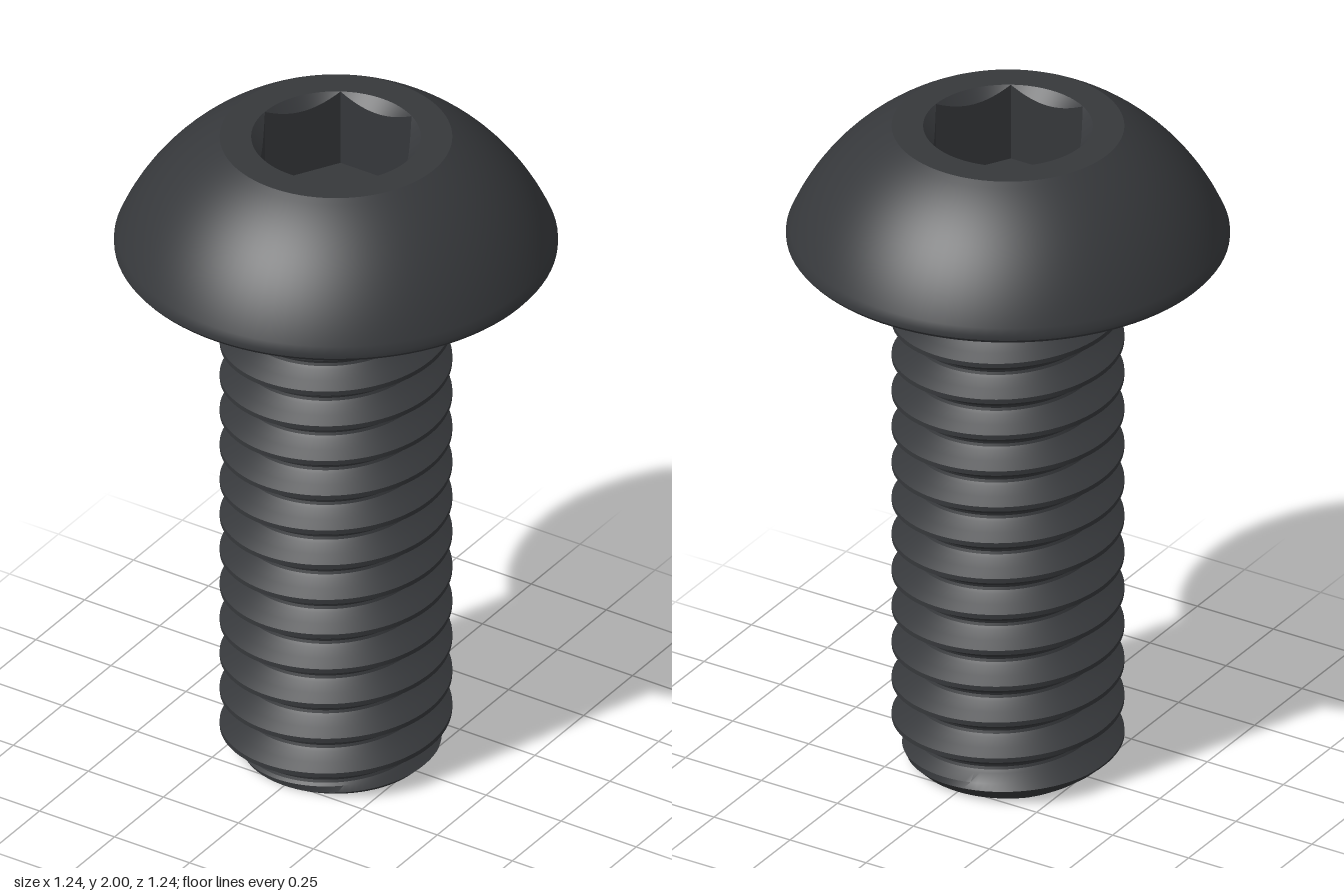
import * as THREE from 'three';
import { toCreasedNormals } from 'three/addons/utils/BufferGeometryUtils.js';

const SEGMENTS = 96;
const HEAD_BASE = 1.645, HEAD_TOP = 2, HEAD_R = 0.62, FLAT_R = 0.325;
const SOCKET_R = 0.237, HEX_APOTHEM = 0.205, SOCKET_FLOOR = 1.765;
const PITCH = 0.1144, MAJOR_R = 0.325, FIRST_CREST = 0.116;

// Surface swept around y: at(angle, row) gives [radius, height].
function sweep(rows, at) {
  const positions = [];
  const point = (i, j) => {
    const a = (i / SEGMENTS) * Math.PI * 2;
    const [r, y] = at(a, j);
    return new THREE.Vector3(r * Math.cos(a), y, -r * Math.sin(a));
  };
  const triangle = (...corners) => {
    const [a, b, c] = corners;
    const area = b.clone().sub(a).cross(c.clone().sub(a)).length();
    if (area > 1e-9) corners.forEach((p) => positions.push(p.x, p.y, p.z));
  };
  for (let i = 0; i < SEGMENTS; i++) {
    for (let j = 0; j < rows - 1; j++) {
      const a = point(i, j), b = point(i + 1, j), c = point(i + 1, j + 1), d = point(i, j + 1);
      triangle(a, b, c);
      triangle(a, c, d);
    }
  }
  let geometry = new THREE.BufferGeometry();
  geometry.setAttribute('position', new THREE.Float32BufferAttribute(positions, 3));
  // Enlarged while creasing, so that close vertices are not merged
  geometry.scale(100, 100, 100);
  geometry = toCreasedNormals(geometry, Math.PI / 6);
  return geometry.scale(0.01, 0.01, 0.01);
}

// Linear interpolation through [x, value] pairs
function interpolate(points, x) {
  if (x <= points[0][0]) return points[0][1];
  for (let k = 1; k < points.length; k++) {
    const [x0, v0] = points[k - 1], [x1, v1] = points[k];
    if (x <= x1) return v0 + ((v1 - v0) * (x - x0)) / (x1 - x0);
  }
  return points[points.length - 1][1];
}

// Domed head with a small rim chamfer and a flat top
function headGeometry() {
  const rimY = 1.668;
  const centerY = (HEAD_TOP + rimY - (HEAD_R ** 2 - FLAT_R ** 2) / (HEAD_TOP - rimY)) / 2;
  const radius = Math.hypot(HEAD_R, rimY - centerY);
  const start = Math.atan2(rimY - centerY, HEAD_R);
  const end = Math.atan2(HEAD_TOP - centerY, FLAT_R);
  const profile = [[0.33, HEAD_BASE], [0.612, HEAD_BASE], [HEAD_R, 1.655]];
  for (let k = 0; k <= 20; k++) {
    const a = start + ((end - start) * k) / 20;
    profile.push([radius * Math.cos(a), centerY + radius * Math.sin(a)]);
  }
  profile.push([SOCKET_R, HEAD_TOP]);
  return sweep(profile.length, (a, j) => profile[j]);
}

// Hexagonal recess, its mouth cut by a 45 degree cone
function socketGeometry() {
  const side = Math.PI / 3;
  return sweep(4, (a, j) => {
    const hex = HEX_APOTHEM / Math.cos((a % side) - side / 2);
    return [
      [SOCKET_R, HEAD_TOP],
      [hex, HEAD_TOP - (SOCKET_R - hex)],
      [hex, SOCKET_FLOOR],
      [0, SOCKET_FLOOR],
    ][j];
  });
}

// Right-handed thread with a chamfered tip and a filleted neck
function shankGeometry() {
  // Radius by distance from the crest, in pitches
  const tooth = [[0.06, MAJOR_R], [0.37, 0.267], [0.43, 0.258], [0.5, 0.255]];
  const neck = [[1.5, 0.255], [1.54, 0.285], [1.57, 0.305], [1.6, 0.322], [1.625, 0.333], [HEAD_BASE, 0.352]];
  const phases = [-0.43, -0.37, -0.215, -0.06, 0.06, 0.215, 0.37, 0.43, 0.5];
  const turns = 17;
  const crestAt = (a) => FIRST_CREST + (PITCH * a) / (Math.PI * 2);

  const radiusAt = (a, y) => {
    const phase = (y - crestAt(a)) / PITCH;
    let r = interpolate(tooth, Math.abs(phase - Math.round(phase)));
    const fade = 1 - THREE.MathUtils.smoothstep(y, 1.5, 1.58);
    r = 0.255 + (r - 0.255) * fade;
    return Math.max(Math.min(r, 0.265 + y), interpolate(neck, y));
  };

  return sweep(turns * phases.length + 1, (a, j) => {
    if (j === 0) return [0, 0]; // centre of the tip
    const k = j - 1;
    const turn = Math.floor(k / phases.length) - 2;
    const y = THREE.MathUtils.clamp(crestAt(a) + PITCH * (turn + phases[k % phases.length]), 0, HEAD_BASE);
    return [radiusAt(a, y), y];
  });
}

export function createModel() {
  const group = new THREE.Group();
  group.name = 'buttonHeadScrew';
  const material = new THREE.MeshStandardMaterial({ color: 0x36383b });
  const parts = { head: headGeometry(), hexSocket: socketGeometry(), threadedShank: shankGeometry() };
  for (const [name, geometry] of Object.entries(parts)) {
    const mesh = new THREE.Mesh(geometry, material);
    mesh.name = name;
    group.add(mesh);
  }
  return group;
}
